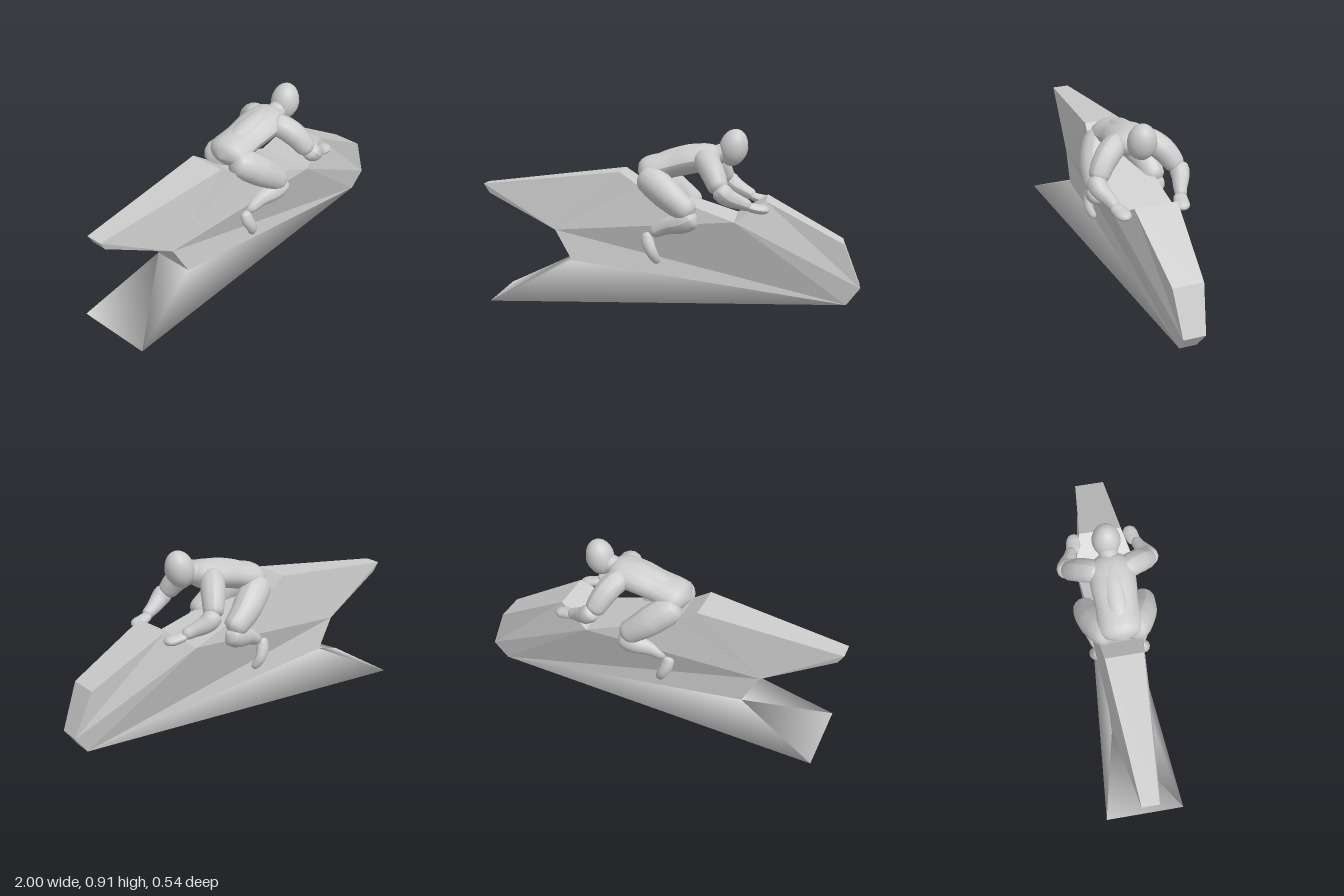
import * as THREE from 'three';
import { mergeVertices } from 'three/addons/utils/BufferGeometryUtils.js';

const grey = new THREE.MeshStandardMaterial({ color: 0xcccccc });
const faceted = new THREE.MeshStandardMaterial({ color: 0xcccccc, flatShading: true });

function add(parent, name, geometry, material = grey) {
  const mesh = new THREE.Mesh(geometry, material);
  mesh.name = name;
  parent.add(mesh);
  return mesh;
}

// Round-ended tube whose radius follows evenly spaced values; zScale widens it sideways
function limb(points, radii, zScale = 1, cap = 0.14) {
  const curve = new THREE.CatmullRomCurve3(points.map(p => new THREE.Vector3(...p)));
  const rings = 24, sides = 14;
  const g = new THREE.TubeGeometry(curve, rings, 1, sides, false);
  const pos = g.attributes.position, v = new THREE.Vector3();
  for (let i = 0; i <= rings; i++) {
    const t = i / rings, c = curve.getPointAt(t);
    const f = t * (radii.length - 1), k = Math.min(Math.floor(f), radii.length - 2);
    const e = Math.min(1, Math.min(t, 1 - t) / cap);
    const r = THREE.MathUtils.lerp(radii[k], radii[k + 1], f - k) * Math.sqrt(1 - (1 - e) ** 2);
    for (let j = 0; j <= sides; j++) {
      const n = i * (sides + 1) + j;
      v.fromBufferAttribute(pos, n).sub(c).multiplyScalar(Math.max(r, 0.0005));
      v.z *= zScale;
      v.add(c);
      pos.setXYZ(n, v.x, v.y, v.z);
    }
  }
  g.computeVertexNormals();
  return g;
}

// Corners of the hull on its +z side
const P = {
  tailTop: [-1, 0.6, 0.045], cowl: [-0.25, 0.685, 0.1], seat: [-0.15, 0.615, 0.11],
  knee: [0.35, 0.445, 0.16], screen: [0.51, 0.55, 0.113], hood: [0.91, 0.33, 0.08],
  nose: [1, 0.095, 0.058], chin: [0.93, 0, 0.045], fin: [-0.93, 0, 0.21],
  heel: [-0.51, 0.21, 0.11], neck: [-0.6, 0.37, 0.1], tailLow: [-0.97, 0.55, 0.04],
};

// Shell of side triangles mirrored across z, joined by strips along the outline
function shell(panels, outline) {
  const verts = [];
  const mirror = p => [p[0], p[1], -p[2]];
  const tri = (a, b, c) => verts.push(...a, ...b, ...c);
  for (const panel of panels) {
    const [a, b, c] = panel.split(' ').map(n => P[n]);
    tri(a, b, c);
    tri(mirror(a), mirror(c), mirror(b));
  }
  const edge = outline.split(' ').map(n => P[n]);
  for (let i = 0; i + 1 < edge.length; i++) {
    const a = edge[i], b = edge[i + 1];
    tri(a, b, mirror(b));
    tri(a, mirror(b), mirror(a));
  }
  const g = new THREE.BufferGeometry();
  g.setAttribute('position', new THREE.Float32BufferAttribute(verts, 3));
  return g;
}

function createHull(model) {
  const body = shell([
    'tailTop tailLow neck', 'tailTop neck cowl', 'cowl neck seat', 'seat neck knee',
    'knee neck chin', 'knee chin nose', 'knee nose screen', 'nose hood screen', 'neck heel chin',
  ], 'heel neck tailLow tailTop cowl seat knee screen hood nose chin');
  body.computeVertexNormals();
  add(model, 'upperHull', body, faceted);

  // Lower keel and rear fins, smoothly shaded
  const keel = mergeVertices(shell(['heel fin chin'], 'chin fin heel'));
  keel.computeVertexNormals();
  add(model, 'lowerKeel', keel);
}

function createRider() {
  const rider = new THREE.Group();
  rider.name = 'rider';
  rider.position.z = 0.006;

  // Torso, pelvis and back pad
  add(rider, 'torso', limb(
    [[-0.17, 0.675, 0], [-0.08, 0.695, 0], [0.02, 0.722, 0], [0.12, 0.747, 0], [0.21, 0.757, 0], [0.28, 0.752, 0]],
    [0.068, 0.074, 0.07, 0.075, 0.075, 0.058], 1.55));
  add(rider, 'backPad', limb(
    [[-0.11, 0.725, 0], [-0.01, 0.762, 0], [0.1, 0.79, 0], [0.21, 0.803, 0]],
    [0.025, 0.032, 0.034, 0.03], 1.6));
  add(rider, 'neck', limb([[0.22, 0.76, 0], [0.28, 0.785, 0], [0.32, 0.81, 0]], [0.055, 0.05, 0.045]));

  // Helmet with visor
  const head = new THREE.Group();
  head.name = 'head';
  head.position.set(0.333, 0.811, 0);
  head.rotation.z = -0.25;
  head.scale.set(0.074, 0.098, 0.074);
  add(head, 'helmet', new THREE.SphereGeometry(1, 20, 14));
  add(head, 'visor', new THREE.SphereGeometry(1.02, 16, 6, Math.PI / 2 + 0.2, Math.PI - 0.4, 1.35, 0.55));
  rider.add(head);

  // Arms and legs, mirrored across z
  for (const s of [1, -1]) {
    const side = s > 0 ? 'right' : 'left';
    const part = (name, pts, radii, zScale, cap) =>
      add(rider, side + name, limb(pts.map(([x, y, z]) => [x, y, z * s]), radii, zScale, cap));
    part('UpperArm', [[0.17, 0.765, 0.045], [0.21, 0.738, 0.11], [0.245, 0.69, 0.165], [0.285, 0.605, 0.22]],
      [0.055, 0.063, 0.063, 0.057, 0.048]);
    part('Forearm', [[0.265, 0.635, 0.223], [0.32, 0.585, 0.216], [0.38, 0.555, 0.19], [0.44, 0.53, 0.17]],
      [0.046, 0.05, 0.042, 0.034, 0.028]);
    part('Hand', [[0.41, 0.535, 0.175], [0.46, 0.52, 0.16], [0.53, 0.51, 0.148]],
      [0.02, 0.024, 0.025, 0.018], 1.6, 0.2);
    part('Thigh', [[-0.14, 0.665, 0.045], [-0.07, 0.63, 0.09], [0.03, 0.555, 0.14], [0.14, 0.468, 0.162]],
      [0.07, 0.082, 0.08, 0.068, 0.058]);
    part('Shin', [[0.16, 0.475, 0.16], [0.08, 0.437, 0.152], [0, 0.412, 0.132], [-0.09, 0.362, 0.115]],
      [0.055, 0.06, 0.05, 0.038, 0.026]);
    part('Foot', [[-0.1, 0.375, 0.112], [-0.1, 0.33, 0.128], [-0.075, 0.27, 0.14], [-0.045, 0.212, 0.115]],
      [0.03, 0.034, 0.028, 0.02], 0.85);
  }
  return rider;
}

export function createModel() {
  const model = new THREE.Group();
  model.name = 'hoverBikeWithRider';
  createHull(model);
  model.add(createRider());
  return model;
}
